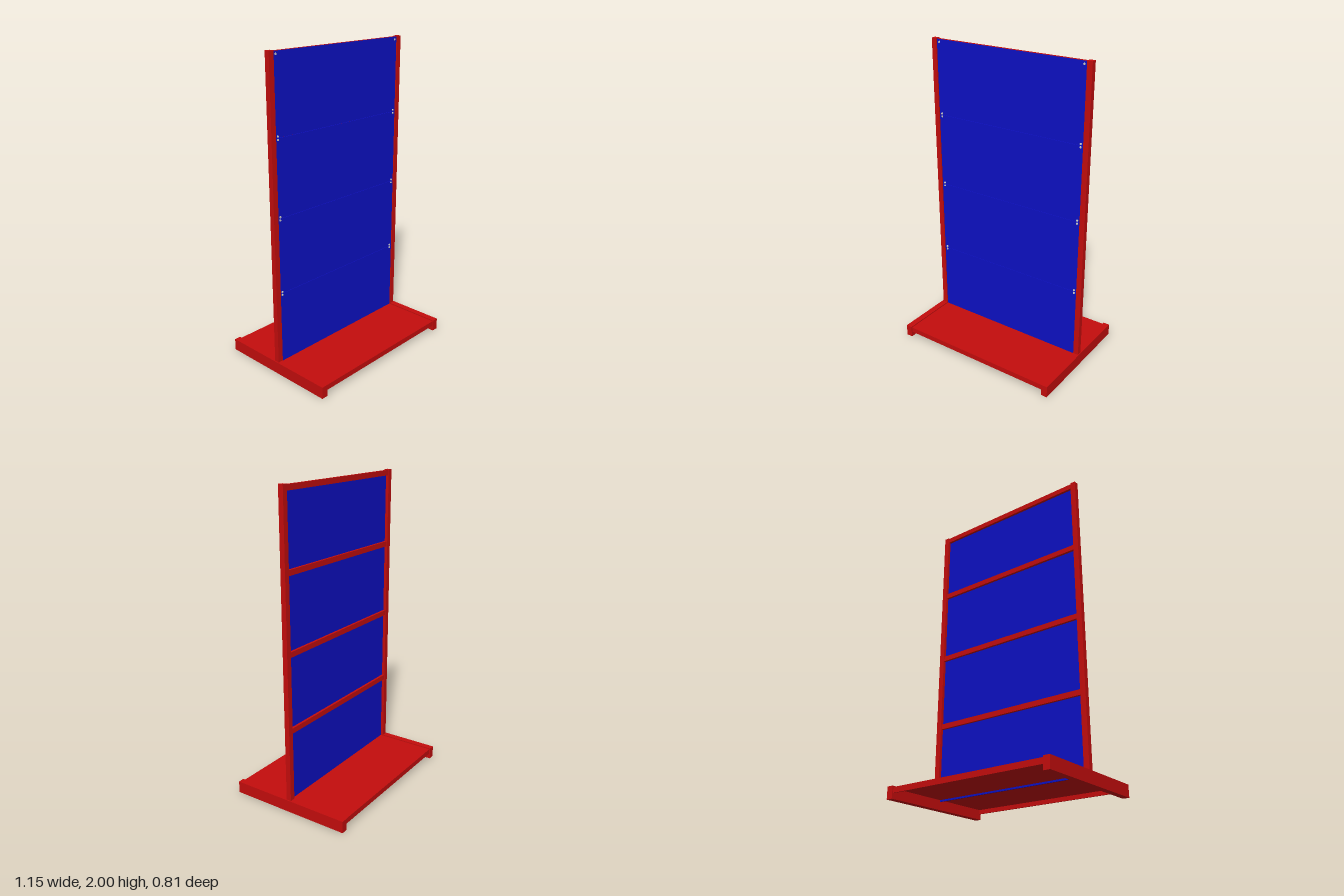
import * as THREE from 'three';

const red = new THREE.MeshStandardMaterial({ color: 0xc40d0d });
const blue = new THREE.MeshStandardMaterial({ color: 0x0d10c4 });
const grey = new THREE.MeshStandardMaterial({ color: 0xcccccc });

// Box given by its min and max corners
function box(name, material, [x0, y0, z0], [x1, y1, z1]) {
  const mesh = new THREE.Mesh(new THREE.BoxGeometry(x1 - x0, y1 - y0, z1 - z0), material);
  mesh.position.set((x0 + x1) / 2, (y0 + y1) / 2, (z0 + z1) / 2);
  mesh.name = name;
  return mesh;
}

function createScrew(x, y) {
  const screw = new THREE.Mesh(new THREE.CylinderGeometry(0.006, 0.007, 0.004, 16), grey);
  screw.rotation.x = Math.PI / 2;
  screw.position.set(x, y, 0.012);
  screw.name = 'screw';
  return screw;
}

export function createModel() {
  const model = new THREE.Group();
  model.name = 'displayStand';
  const inner = 0.533;

  // Feet and uprights on both sides
  for (const s of [-1, 1]) {
    const side = s < 0 ? 'right' : 'left';
    const foot = box(`${side}Foot`, red, [inner, 0, -0.407], [0.575, 0.077, 0.407]);
    const post = box(`${side}Post`, red, [inner, 0.077, -0.016], [0.568, 2, 0.017]);
    for (const part of [foot, post]) {
      part.position.x *= s;
      model.add(part);
    }
  }

  // Base deck: a thin sheet with folded edges, open underneath
  const deck = new THREE.Group();
  deck.name = 'baseDeck';
  deck.add(box('deckSheet', red, [-inner, 0.062, -0.4], [inner, 0.07, 0.4]));
  deck.add(box('frontLip', red, [-inner, 0.035, 0.392], [inner, 0.062, 0.4]));
  deck.add(box('backLip', red, [-inner, 0.035, -0.4], [inner, 0.062, -0.392]));
  model.add(deck);

  // Four stacked panels, with rails behind the seams and screws at the corners
  const seams = [0.05, 0.536, 1.022, 1.508, 1.996];
  for (let i = 0; i < 4; i++) {
    const bottom = seams[i] + 0.001;
    const top = seams[i + 1] - 0.001;
    model.add(box('panel', blue, [-inner, bottom, 0.004], [inner, top, 0.01]));

    const railTop = i === 3 ? 1.996 : seams[i + 1] + 0.017;
    model.add(box('backRail', red, [-inner, railTop - 0.034, -0.012], [inner, railTop, 0.004]));

    for (const x of [-0.514, 0.514]) {
      model.add(createScrew(x, i === 3 ? 1.978 : seams[i + 1] - 0.01));
      if (i < 3) model.add(createScrew(x, seams[i + 1] + 0.01));
    }
  }

  return model;
}
